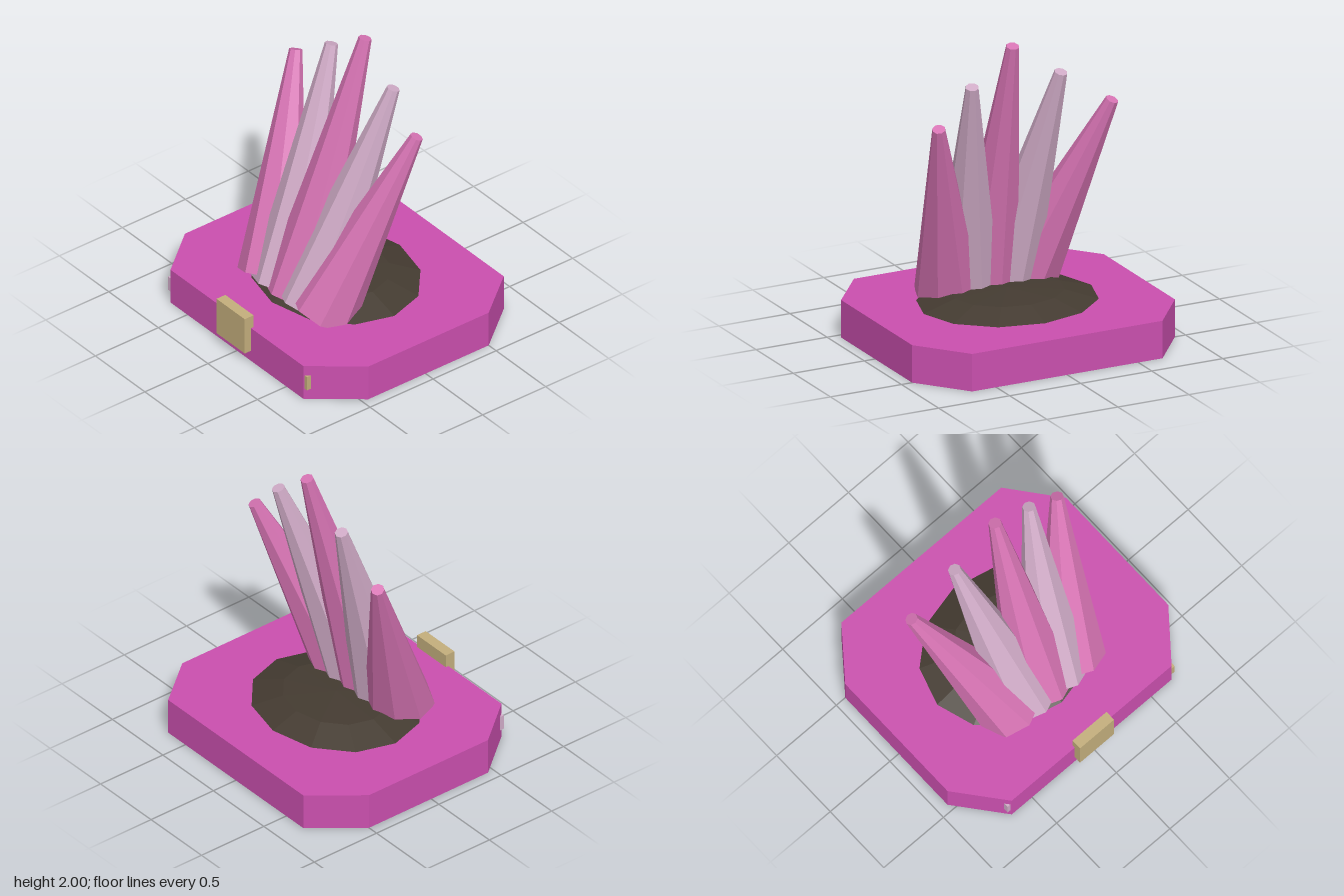
import * as THREE from 'three';

const mat = (name, color, flatShading = true) => {
  const m = new THREE.MeshStandardMaterial({ color, flatShading });
  m.name = name;
  return m;
};

export function createModel() {
  const model = new THREE.Group();
  model.name = 'crystalTrophy';

  const magenta = mat('magenta', 0xca4fae);
  const pink = mat('pink', 0xd673b3);
  const pale = mat('palePink', 0xd0abc7);
  const gold = mat('gold', 0xc3ae7c);
  const stone = mat('darkStone', 0x443b31);

  const add = (name, geometry, material, x = 0, y = 0, z = 0) => {
    const mesh = new THREE.Mesh(geometry, material);
    mesh.name = name;
    mesh.position.set(x, y, z);
    model.add(mesh);
    return mesh;
  };

  // Plinth: a block with cut corners, outline drawn in x and -z
  const outline = new THREE.Shape([
    [0.67, -0.77], [0.925, -0.455], [0.925, 0.5], [0.67, 0.82],
    [-0.67, 0.82], [-0.925, 0.5], [-0.925, -0.455], [-0.67, -0.77],
  ].map(([x, y]) => new THREE.Vector2(x, y)));
  const plinth = new THREE.ExtrudeGeometry(outline, { depth: 0.248, bevelEnabled: false });
  plinth.rotateX(-Math.PI / 2);
  add('plinth', plinth, magenta);

  // Low rock mound, slightly oval
  const profile = [[0.6, 0.245], [0.37, 0.312], [0, 0.33]].map(([r, y]) => new THREE.Vector2(r, y));
  const mound = add('rockMound', new THREE.LatheGeometry(profile, 12), stone, 0, 0, -0.015);
  mound.scale.z = 0.86;

  // Fan of five tapered crystals leaning back
  const up = new THREE.Vector3(0, 1, 0);
  const tips = [[-0.64, 1.525], [-0.28, 1.765], [0.06, 1.99], [0.345, 1.765], [0.58, 1.525]];
  tips.forEach(([x, y], i) => {
    const base = new THREE.Vector3((i - 2) * 0.13, 0.25, 0.285);
    const axis = new THREE.Vector3(x, y, -0.2).sub(base);
    const length = axis.length();
    const geometry = new THREE.CylinderGeometry(0.042, 0.22, length, 8);
    geometry.translate(0, length / 2, 0);
    const crystal = add('crystal' + (i + 1), geometry, i % 2 ? pale : pink, ...base);
    crystal.quaternion.setFromUnitVectors(up, axis.normalize());
  });

  // Front plaque and two small corner studs
  add('plaque', new THREE.BoxGeometry(0.285, 0.26, 0.07), gold, 0, 0.207, 0.785);
  add('leftStud', new THREE.BoxGeometry(0.06, 0.1, 0.035), gold, 0.67, 0.127, 0.747);
  add('rightStud', new THREE.BoxGeometry(0.06, 0.1, 0.035), pale, -0.67, 0.127, 0.747);

  return model;
}
